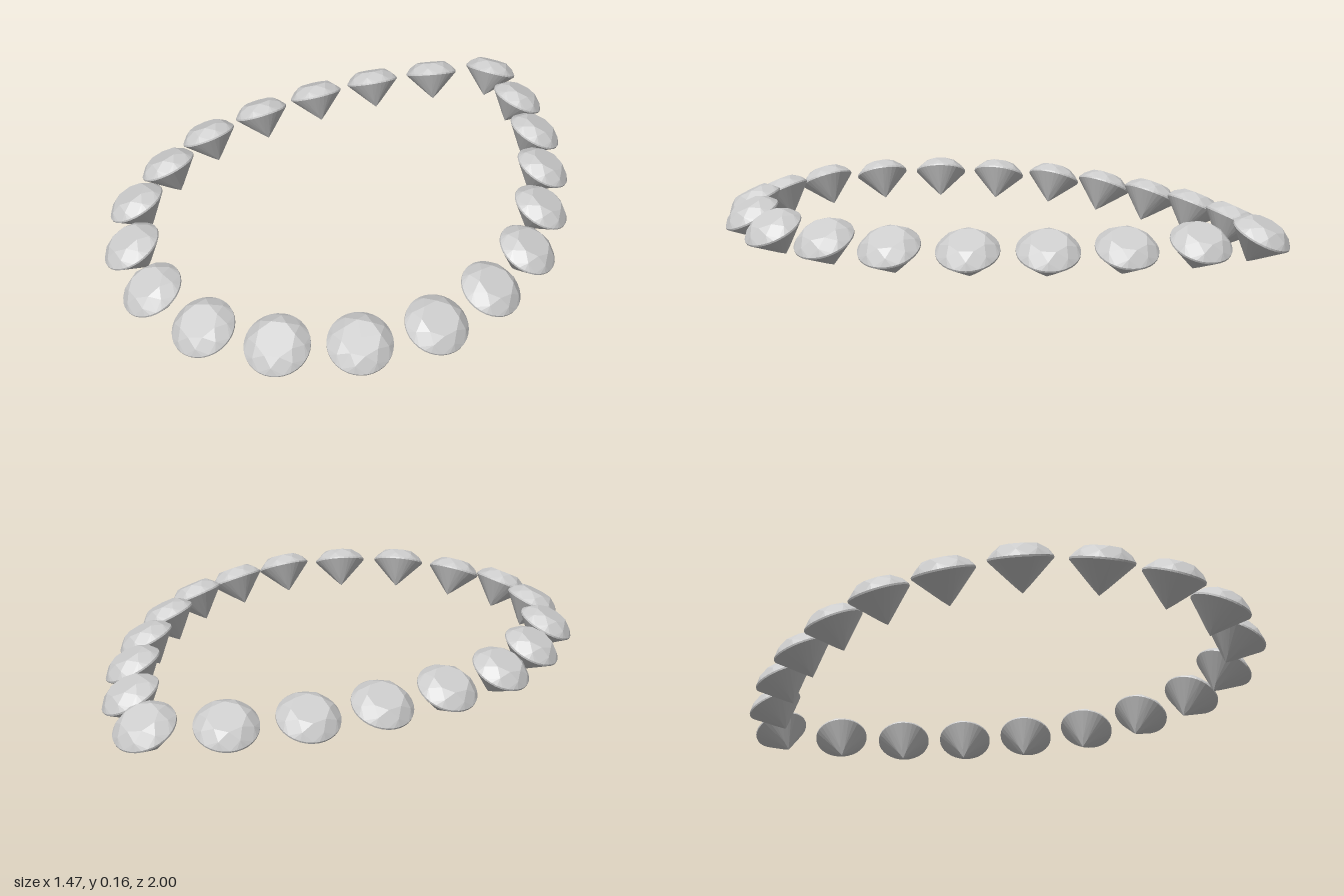
import * as THREE from 'three';

const R = 0.098, GIRDLE = 0.003, TILT = THREE.MathUtils.degToRad(26);
const STEP = Math.PI / 16; // 32 points around the girdle

// Round brilliant-cut gem, centred on its girdle, table facing +y
function gemGeometry() {
  const pos = [];
  const at = (r, y, i) => [r * Math.cos(i * STEP), y, r * Math.sin(i * STEP)];

  // One half of the cut: inner octagon, star points, then girdle arcs
  function cutHalf(sign, innerR, height, starR) {
    const tri = (a, b, c) => pos.push(...a, ...(sign > 0 ? b : c), ...(sign > 0 ? c : b));
    // star points lie in the plane of the main (kite) facets
    const starH = height * (R - starR * Math.cos(Math.PI / 8)) / (R - innerR);
    const inner = (i) => at(innerR, sign * (height + GIRDLE), i);
    const star = (i) => at(starR, sign * (starH + GIRDLE), i);
    const rim = (i) => at(R, sign * GIRDLE, i);
    for (let i = 0; i < 32; i += 4) {
      if (innerR > 0) {
        tri([0, sign * (height + GIRDLE), 0], inner(i + 4), inner(i)); // table
        tri(inner(i), inner(i + 4), star(i + 2)); // star facet
      }
      tri(inner(i), star(i + 2), rim(i)); // kite facet
      tri(inner(i), rim(i), star(i - 2));
      for (let j = i; j < i + 4; j++) tri(star(i + 2), rim(j + 1), rim(j));
    }
  }
  cutHalf(1, 0.058, 0.038, 0.083); // crown
  cutHalf(-1, 0, 0.098, 0.022); // pavilion

  // Girdle band
  for (let i = 0; i < 32; i++) {
    const t0 = at(R, GIRDLE, i), t1 = at(R, GIRDLE, i + 1);
    const b0 = at(R, -GIRDLE, i), b1 = at(R, -GIRDLE, i + 1);
    pos.push(...t0, ...t1, ...b0, ...t1, ...b1, ...b0);
  }
  const g = new THREE.BufferGeometry();
  g.setAttribute('position', new THREE.Float32BufferAttribute(pos, 3));
  g.computeVertexNormals();
  return g;
}

export function createModel() {
  const group = new THREE.Group();
  group.name = 'gemNecklace';
  const geometry = gemGeometry();
  const material = new THREE.MeshStandardMaterial({ color: 0xcccccc, flatShading: true });

  // Gem centres (x, z) from the back, down the left side, to the front
  const side = [
    [0, -0.912], [0.19, -0.77], [0.352, -0.587], [0.481, -0.384], [0.58, -0.164], [0.645, 0.07],
    [0.638, 0.307], [0.58, 0.54], [0.434, 0.73], [0.235, 0.863], [0, 0.909],
  ];
  // Mirror the side to close the loop
  const loop = [...side, ...side.slice(1, -1).reverse().map(([x, z]) => [-x, z])];
  const up = new THREE.Vector3(0, 1, 0);

  loop.forEach(([x, z], i) => {
    const [px, pz] = loop[(i + loop.length - 1) % loop.length];
    const [nx, nz] = loop[(i + 1) % loop.length];
    // Tilt each gem outwards, square to the line of its neighbours
    const out = new THREE.Vector3(nz - pz, 0, px - nx).normalize();
    const axis = out.multiplyScalar(Math.sin(TILT)).addScaledVector(up, Math.cos(TILT));
    const gem = new THREE.Mesh(geometry, material);
    gem.name = `gem${i + 1}`;
    gem.position.set(x, z === 0.909 ? 0.093 : 0.101, z);
    gem.quaternion.setFromUnitVectors(up, axis);
    group.add(gem);
  });
  return group;
}
